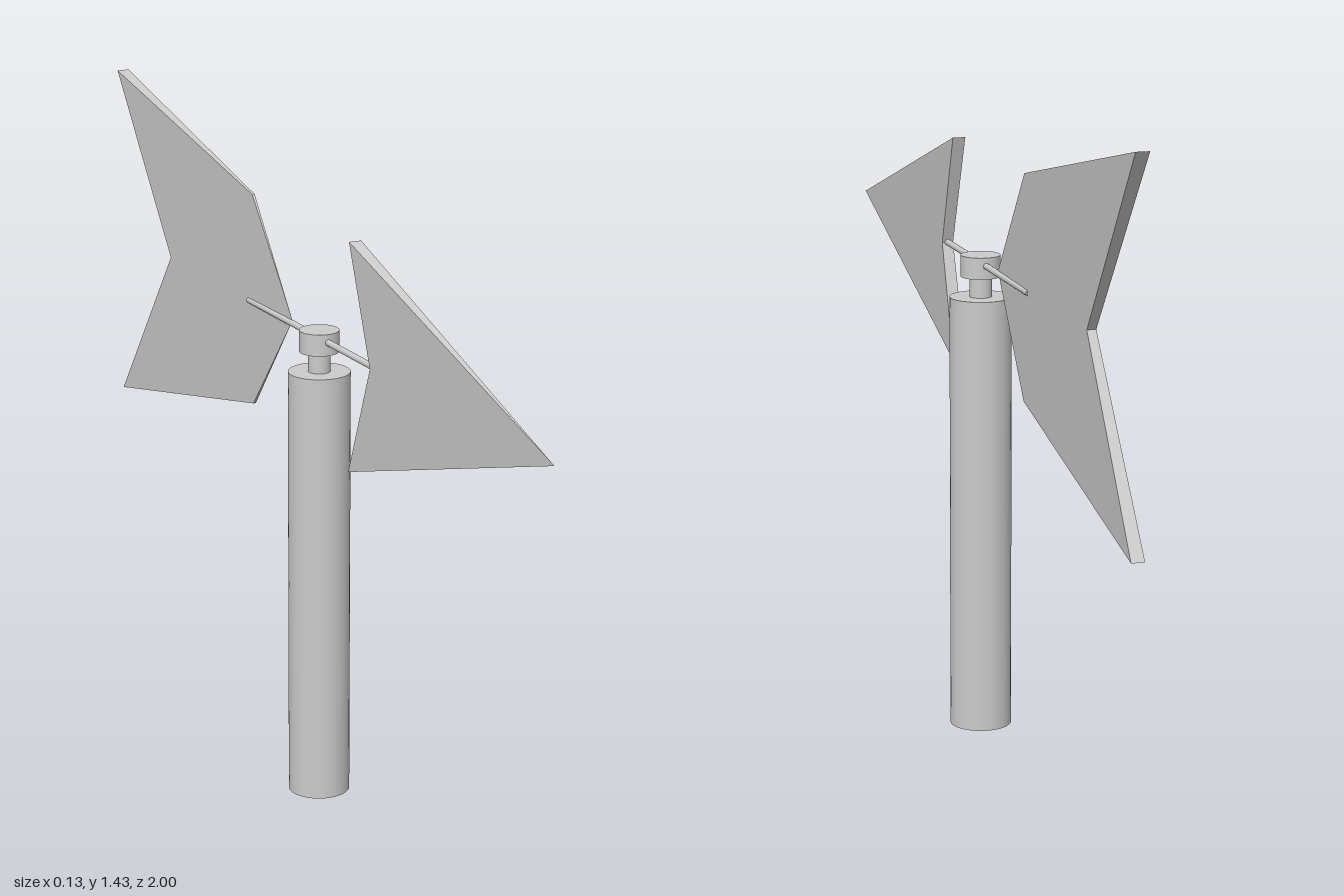
import * as THREE from 'three';

const material = new THREE.MeshStandardMaterial({ color: 0xcccccc });

function add(parent, name, geometry) {
  const mesh = new THREE.Mesh(geometry, material);
  mesh.name = name;
  parent.add(mesh);
  return mesh;
}

// Upright cylinder between two heights
function upright(parent, name, radius, bottom, top) {
  const mesh = add(parent, name, new THREE.CylinderGeometry(radius, radius, top - bottom, 40));
  mesh.position.y = (bottom + top) / 2;
}

// Vane outlined in (z, y), thinning from `thickness` at zThick to nothing at zSharp
function wedge(outline, zSharp, zThick, thickness) {
  const shape = new THREE.Shape(outline.map(([z, y]) => new THREE.Vector2(z, y)));
  const geometry = new THREE.ExtrudeGeometry(shape, { depth: 1, bevelEnabled: false });
  geometry.translate(0, 0, -0.5).rotateY(-Math.PI / 2);
  const p = geometry.attributes.position;
  for (let i = 0; i < p.count; i++) {
    p.setX(i, p.getX(i) * thickness * (p.getZ(i) - zSharp) / (zThick - zSharp));
  }
  geometry.computeVertexNormals();
  return geometry;
}

export function createModel() {
  const model = new THREE.Group();
  model.name = 'weatherVane';
  model.position.z = 0.028;

  // Fixed post, spindle and cap
  upright(model, 'post', 0.067, 0, 0.96);
  upright(model, 'spindle', 0.024, 0.95, 1.01);
  upright(model, 'cap', 0.043, 1.004, 1.051);

  // Turning arrow, yawed slightly about the post
  const arrow = new THREE.Group();
  arrow.name = 'arrow';
  arrow.rotation.y = 0.052;
  model.add(arrow);

  const rod = add(arrow, 'rod', new THREE.CylinderGeometry(0.007, 0.007, 0.63, 16));
  rod.rotation.x = Math.PI / 2;
  rod.position.set(0, 1.033, -0.03);

  add(arrow, 'arrowHead', wedge(
    [[0.973, 1.032], [0.163, 1.28], [0.255, 1.032], [0.163, 0.784]],
    0.973, 0.163, 0.028));

  add(arrow, 'tailFin', wedge(
    [[-0.128, 1.039], [-0.32, 1.277], [-1.028, 1.427], [-0.745, 1.039], [-1.028, 0.651], [-0.32, 0.801]],
    -0.128, -1.028, 0.028));

  return model;
}
